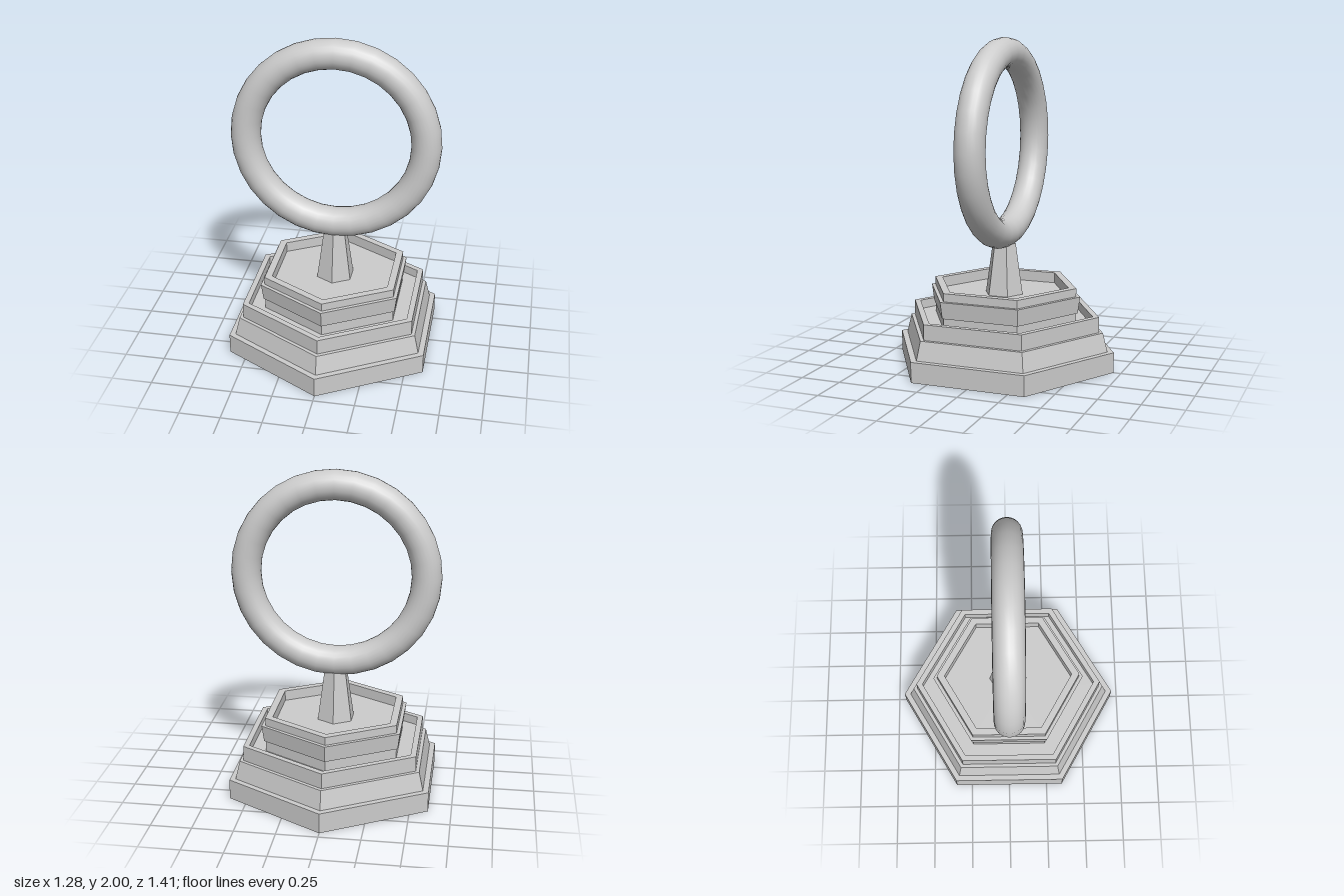
import * as THREE from 'three';

const grey = { color: 0xcccccc };

// Six-sided solid turned from a [radius, height] profile, corners on +z and -z
function hexTurned(name, profile) {
  const points = profile.map(([r, y]) => new THREE.Vector2(r, y));
  const mesh = new THREE.Mesh(
    new THREE.LatheGeometry(points, 6),
    new THREE.MeshStandardMaterial({ ...grey, flatShading: true })
  );
  mesh.name = name;
  return mesh;
}

export function createModel() {
  const group = new THREE.Group();
  group.name = 'ringOnPedestal';

  // Lower tiers: plinth, sloped step, and a rimmed step with a sunken top
  group.add(hexTurned('lowerBase', [
    [0, 0], [0.705, 0], [0.705, 0.125],
    [0.665, 0.125], [0.635, 0.24],
    [0.61, 0.24], [0.61, 0.335],
    [0.57, 0.335], [0.57, 0.28], [0, 0.28],
  ]));

  // Upper tier: flared band, then a rim around a sunken floor
  group.add(hexTurned('upperBase', [
    [0.465, 0.28], [0.465, 0.347],
    [0.475, 0.347], [0.49, 0.45],
    [0.465, 0.45], [0.465, 0.5],
    [0.415, 0.5], [0.415, 0.435], [0, 0.435],
  ]));

  // Tapered stem
  group.add(hexTurned('stem', [
    [0.121, 0.435], [0.075, 0.75], [0, 0.75],
  ]));

  // Upright ring, sunk slightly onto the stem
  const ring = new THREE.Mesh(
    new THREE.TorusGeometry(0.548, 0.091, 24, 32),
    new THREE.MeshStandardMaterial(grey)
  );
  ring.name = 'ring';
  ring.position.y = 1.361;
  group.add(ring);

  return group;
}
